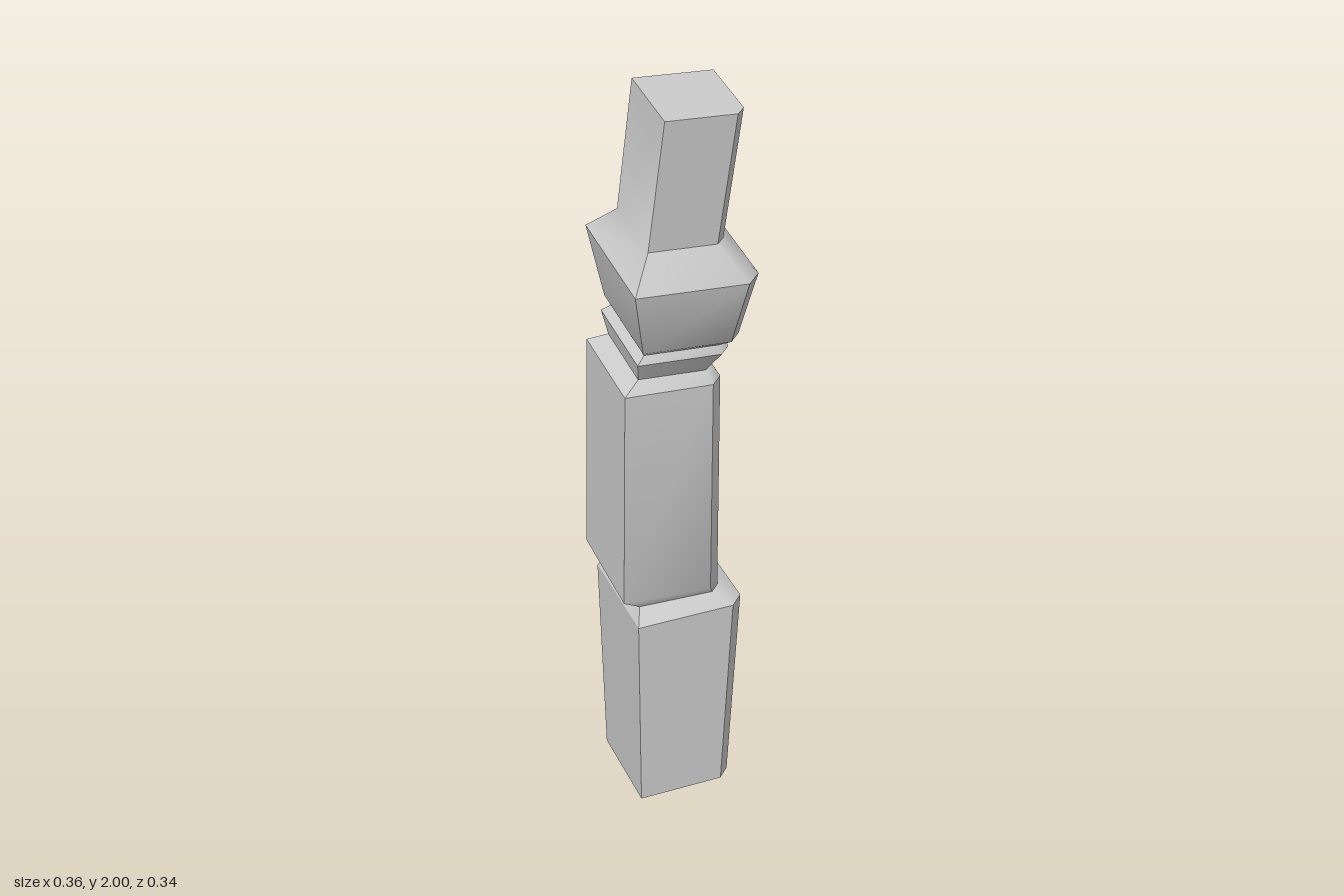
import * as THREE from 'three';
import { toCreasedNormals } from 'three/addons/utils/BufferGeometryUtils.js';

const YAW = 0.05; // the whole post is turned slightly

// Square section with one bevelled corner at +x +z, tilted by a slope
function ring([y, cx, cz, h, slope]) {
  const c = h * 0.76;
  return [[-h, -h], [-h, h], [c, h], [h, c], [h, -h]].map(([u, v]) => {
    const dx = u + YAW * v, dz = v - YAW * u;
    return [cx + dx, y - slope * (dx + dz), cz + dz];
  });
}

// Skin a run of sections, optionally closing the bottom or the top
function loft(levels, capBottom, capTop) {
  const rings = levels.map(ring), pos = [];
  const tri = (a, b, c) => pos.push(...a, ...b, ...c);
  for (let r = 0; r < rings.length - 1; r++) {
    const lo = rings[r], up = rings[r + 1], n = lo.length;
    for (let i = 0; i < n; i++) {
      const j = (i + 1) % n;
      tri(lo[i], lo[j], up[j]);
      tri(lo[i], up[j], up[i]);
    }
  }
  const first = rings[0], last = rings[rings.length - 1];
  for (let i = 1; i < first.length - 1; i++) {
    if (capBottom) tri(first[0], first[i + 1], first[i]);
    if (capTop) tri(last[0], last[i], last[i + 1]);
  }
  const geo = new THREE.BufferGeometry();
  geo.setAttribute('position', new THREE.Float32BufferAttribute(pos, 3));
  return toCreasedNormals(geo, 0.72);
}

export function createModel() {
  const group = new THREE.Group();
  group.name = 'carvedPost';
  const material = new THREE.MeshStandardMaterial({ color: 0xcccccc });

  // Sections: height, centre x, centre z, half width, slope
  const footBottom = [0, -0.005, -0.007, 0.129, 0];
  const footTop = [0.585, 0.002, -0.007, 0.147, 0];
  const lowerGroove = [0.617, -0.012, -0.017, 0.113, 0.04];
  const shaftBottom = [0.65, -0.039, -0.022, 0.134, 0.07];
  const shaftTop = [1.266, -0.036, -0.013, 0.13, 0.07];
  const upperGroove = [1.29, -0.02, -0.014, 0.1, 0.08];
  const bead = [1.35, -0.01, -0.005, 0.123, 0.08];
  const beadTop = [1.368, -0.002, -0.005, 0.11, 0.08];
  const collarBottom = [1.384, 0.008, -0.006, 0.129, 0.08];
  const collarEdge = [1.565, 0.009, -0.001, 0.164, 0.08];
  const neckBottom = [1.64, 0.003, -0.003, 0.1, 0.08];
  const neckTop = [1.986, 0.037, 0.022, 0.102, 0.08];

  const add = (name, levels, capBottom = false, capTop = false) => {
    const mesh = new THREE.Mesh(loft(levels, capBottom, capTop), material);
    mesh.name = name;
    group.add(mesh);
  };
  add('foot', [footBottom, footTop], true);
  add('shaft', [footTop, lowerGroove, shaftBottom, shaftTop, upperGroove]);
  add('bead', [upperGroove, bead, beadTop]);
  add('collar', [beadTop, collarBottom, collarEdge]);
  add('neck', [collarEdge, neckBottom, neckTop], false, true);
  return group;
}
